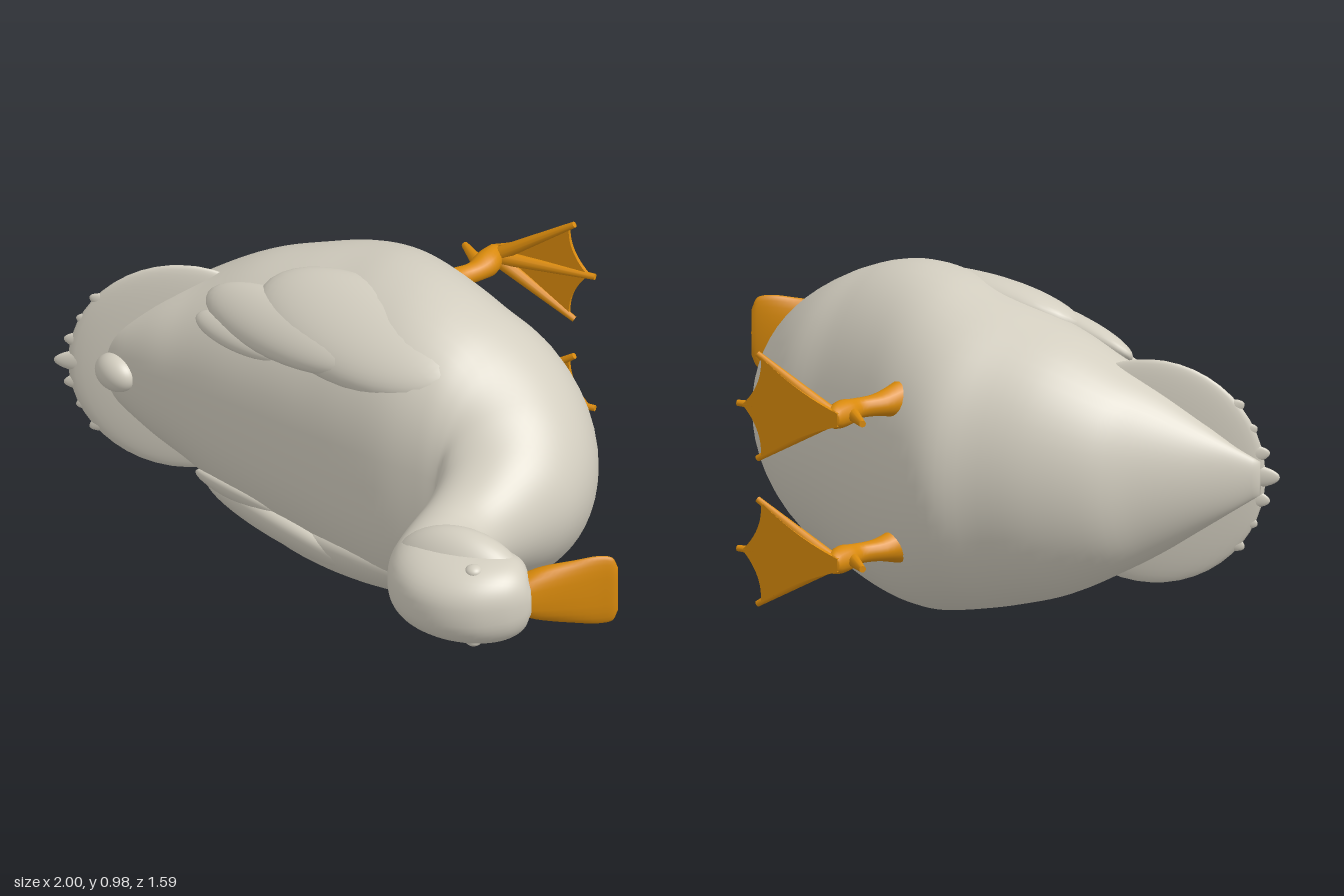
import * as THREE from 'three';

const MID = 0.495; // height of the bird's plane of symmetry

const feathers = new THREE.MeshStandardMaterial({ color: 0xd3cec0 });
feathers.name = 'feathers';
const orange = new THREE.MeshStandardMaterial({ color: 0xd98a0c });
orange.name = 'orange';

// Smooth loft; each station is [upperX, upperZ, lowerX, lowerZ, halfWidth].
// square < 1 fills out the upper half of each ring.
function loft(stations, y0, { rings = 48, sides = 36, square = 1 } = {}) {
  const upper = new THREE.CatmullRomCurve3(stations.map(s => new THREE.Vector3(s[0], s[4], s[1])));
  const lower = new THREE.CatmullRomCurve3(stations.map(s => new THREE.Vector3(s[2], 0, s[3])));
  const pos = [], index = [];
  for (let i = 0; i <= rings + 2; i++) {
    const t = Math.min(Math.max((i - 1) / rings, 0), 1);
    const size = i === 0 || i === rings + 2 ? 0.001 : 1; // closed ends
    const a = upper.getPoint(t), b = lower.getPoint(t);
    for (let j = 0; j < sides; j++) {
      const ang = (j / sides) * Math.PI * 2;
      const s = Math.sin(ang) * size, c = Math.cos(ang);
      const k = s > 0 ? Math.sign(c) * Math.pow(Math.abs(c), square) : c;
      pos.push((a.x + b.x) / 2 + s * (a.x - b.x) / 2, y0 + k * size * Math.max(a.y, 0.002),
        (a.z + b.z) / 2 + s * (a.z - b.z) / 2);
      if (i < rings + 2) {
        const p = i * sides + j, q = i * sides + (j + 1) % sides;
        index.push(p, q, p + sides, q, q + sides, p + sides);
      }
    }
  }
  const g = new THREE.BufferGeometry();
  g.setAttribute('position', new THREE.Float32BufferAttribute(pos, 3));
  g.setIndex(index);
  g.computeVertexNormals();
  return g;
}

export function createModel() {
  const model = new THREE.Group();
  model.name = 'duck';

  function add(name, geometry, material, parent = model) {
    const m = new THREE.Mesh(geometry, material);
    m.name = name;
    parent.add(m);
    return m;
  }
  function blob(name, p, r, rot = [0, 0, 0], parent = model) {
    const m = add(name, new THREE.SphereGeometry(1, 36, 24), feathers, parent);
    m.position.set(p[0], MID + p[1], p[2]);
    m.scale.set(...r);
    m.rotation.set(...rot);
  }
  // Tapered limb between two points
  function limb(name, a, b, ra, rb, parent) {
    const from = new THREE.Vector3(...a), to = new THREE.Vector3(...b);
    const dir = to.clone().sub(from);
    const m = add(name, new THREE.CylinderGeometry(rb, ra, dir.length(), 10), orange, parent);
    m.position.copy(from).add(to).multiplyScalar(0.5);
    m.quaternion.setFromUnitVectors(new THREE.Vector3(0, 1, 0), dir.normalize());
  }

  // Body from the tail to the chest, then up the neck
  add('bodyAndNeck', loft([
    [-0.95, -0.06, -0.96, -0.09, 0.05],
    [-0.88, -0.075, -0.89, -0.16, 0.1],
    [-0.8, -0.045, -0.8, -0.25, 0.16],
    [-0.7, -0.01, -0.7, -0.35, 0.23],
    [-0.6, 0.02, -0.6, -0.455, 0.29],
    [-0.45, 0.07, -0.45, -0.54, 0.37],
    [-0.3, 0.115, -0.3, -0.59, 0.42],
    [-0.15, 0.16, -0.17, -0.63, 0.455],
    [0, 0.2, -0.02, -0.59, 0.487],
    [0.15, 0.23, 0.14, -0.51, 0.487],
    [0.27, 0.235, 0.3, -0.435, 0.45],
    [0.32, 0.235, 0.46, -0.375, 0.4],
    [0.335, 0.24, 0.6, -0.25, 0.34],
    [0.34, 0.255, 0.683, -0.08, 0.275],
    [0.342, 0.28, 0.697, 0.09, 0.21],
    [0.345, 0.32, 0.655, 0.24, 0.165],
    [0.348, 0.38, 0.61, 0.36, 0.137],
    [0.35, 0.44, 0.597, 0.43, 0.13],
    [0.356, 0.53, 0.6, 0.443, 0.13],
    [0.372, 0.63, 0.615, 0.446, 0.13],
    [0.42, 0.715, 0.635, 0.448, 0.13],
    [0.5, 0.775, 0.66, 0.452, 0.13],
    [0.6, 0.795, 0.69, 0.462, 0.13],
    [0.7, 0.772, 0.72, 0.477, 0.126],
    [0.775, 0.715, 0.745, 0.5, 0.112],
    [0.81, 0.66, 0.765, 0.53, 0.085],
    [0.818, 0.62, 0.78, 0.56, 0.045],
  ], MID, { rings: 120, sides: 48, square: 0.8 }), feathers);
  blob('cheeks', [0.58, 0, 0.59], [0.215, 0.172, 0.105]);

  // Bill: deep at the face, wide and flat at the tip
  add('bill', loft([
    [0.78, 0.635, 0.73, 0.53, 0.055],
    [0.83, 0.59, 0.79, 0.505, 0.082],
    [0.9, 0.528, 0.88, 0.468, 0.1],
    [0.96, 0.475, 0.945, 0.438, 0.11],
    [0.99, 0.45, 0.98, 0.425, 0.102],
    [1.0, 0.437, 0.995, 0.422, 0.07],
  ], MID, { rings: 24, sides: 24, square: 0.7 }), orange);

  // Broad tail fan sloping down towards the body
  blob('tailFan', [-0.65, 0, -0.165], [0.33, 0.33, 0.035], [0, 0.35, 0]);
  blob('middleTailFeather', [-0.83, 0, -0.1], [0.18, 0.045, 0.018], [0, 0.35, 0]);
  blob('tailCurl', [-0.81, 0, -0.05], [0.07, 0.055, 0.05], [0, -0.4, 0]);

  for (const s of [1, -1]) {
    const side = s > 0 ? 'upper' : 'lower';
    blob(side + 'Eye', [0.67, s * 0.112, 0.69], [0.025, 0.018, 0.025]);

    // Folded wing with two layers of long feathers
    const wing = new THREE.Group();
    wing.name = side + 'Wing';
    model.add(wing);
    blob('wingShoulder', [-0.02, s * 0.352, 0.0], [0.36, 0.085, 0.17], [s * 0.55, -0.25, s * 0.1], wing);
    blob('wingFeathers', [-0.24, s * 0.32, 0.015], [0.32, 0.055, 0.1], [s * 0.7, -0.24, s * 0.26], wing);
    blob('wingTip', [-0.37, s * 0.26, 0.01], [0.19, 0.033, 0.055], [s * 0.7, -0.2, s * 0.2], wing);

    // Pointed feathers along the edge of the fan
    for (let i = 1; i <= 3; i++) {
      blob(side + 'TailFeather' + i, [-0.835 + i * 0.03, s * i * 0.05, -0.1 - i * 0.01],
        [0.18, 0.042, 0.016], [0, 0.35, -s * i * 0.12]);
    }

    // Leg
    const leg = new THREE.Group();
    leg.name = side + 'Leg';
    model.add(leg);
    const y = MID + s * 0.215;
    add('shank', loft([
      [0.02, -0.48, -0.12, -0.48, 0.062],
      [0.005, -0.54, -0.085, -0.53, 0.052],
      [0.025, -0.61, -0.05, -0.61, 0.032],
      [0.055, -0.67, -0.01, -0.67, 0.03],
      [0.07, -0.72, -0.01, -0.72, 0.038],
      [0.06, -0.77, 0.0, -0.77, 0.035],
      [0.05, -0.795, 0.005, -0.795, 0.025],
    ], y, { rings: 24, sides: 16 }), orange, leg);

    // Webbed foot: scalloped web, three front toes and a hind toe
    const web = new THREE.Shape();
    web.moveTo(0.01, -0.02);
    web.quadraticCurveTo(0.14, -0.06, 0.26, -0.15);
    web.quadraticCurveTo(0.25, -0.07, 0.32, 0);
    web.quadraticCurveTo(0.25, 0.07, 0.26, 0.15);
    web.quadraticCurveTo(0.14, 0.06, 0.01, 0.02);
    const foot = add('web', new THREE.ExtrudeGeometry(web, { depth: 0.012, bevelEnabled: false }), orange, leg);
    foot.position.set(0, y, -0.796);
    for (const [tx, ty] of [[0.275, -0.155], [0.34, 0], [0.275, 0.155]]) {
      limb('toe', [0.03, y, -0.77], [tx, y + ty, -0.788], 0.022, 0.009, leg);
    }
    limb('hindToe', [0.005, y, -0.72], [-0.07, y, -0.79], 0.02, 0.01, leg);
  }

  return model;
}
